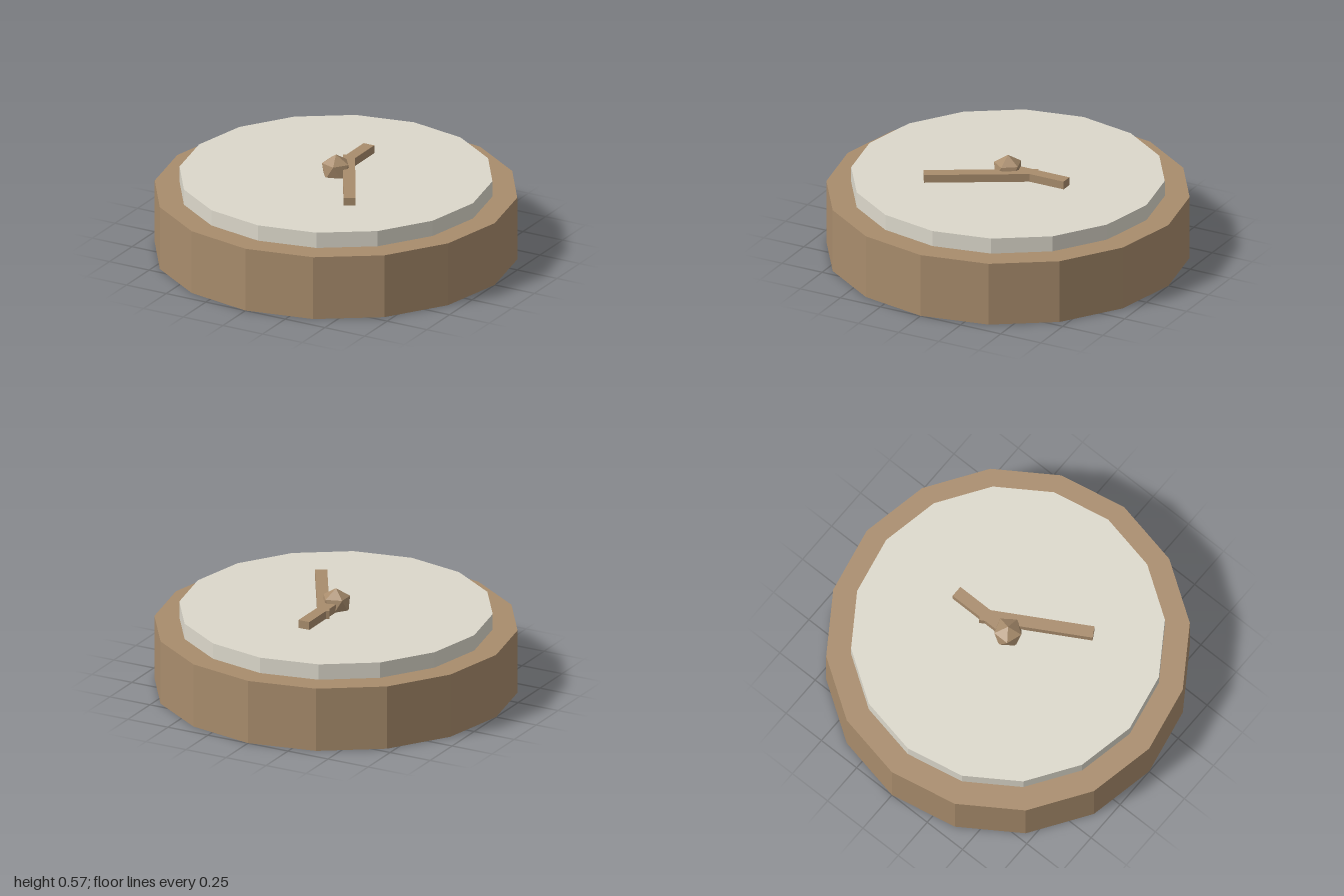
import * as THREE from 'three';

export function createModel() {
  const group = new THREE.Group();
  const wood = new THREE.MeshStandardMaterial({ color: 0xa88c6c, flatShading: true });
  const cream = new THREE.MeshStandardMaterial({ color: 0xdcd8cb, flatShading: true });

  const add = (name, geometry, material, x, y, z) => {
    const mesh = new THREE.Mesh(geometry, material);
    mesh.name = name;
    mesh.position.set(x, y, z);
    group.add(mesh);
    return mesh;
  };

  // Sixteen-sided case with the raised dial on top
  const caseHeight = 0.365, dialTop = 0.455;
  const disc = (radius, height) => new THREE.CylinderGeometry(radius, radius, height, 16);
  add('case', disc(1, caseHeight), wood, 0, caseHeight / 2, 0);
  add('dial', disc(0.863, dialTop - caseHeight), cream, 0, (caseHeight + dialTop) / 2, 0);

  // Hands lying on the dial
  const handHeight = 0.046;
  const hand = (name, length, x, z, angle) => {
    const geometry = new THREE.BoxGeometry(0.067, handHeight, length);
    add(name, geometry, wood, x, dialTop + handHeight / 2, z).rotation.y = angle;
  };
  hand('shortHand', 0.365, 0, -0.1825, 0);
  hand('longHand', 0.63, 0.136, 0.0925, Math.PI / 6);

  // Faceted centre knob, standing on a vertex
  const knob = new THREE.IcosahedronGeometry(0.087, 0);
  knob.rotateZ(-Math.atan(2 / (1 + Math.sqrt(5))));
  add('centreKnob', knob, wood, 0, 0.483, 0);

  return group;
}
